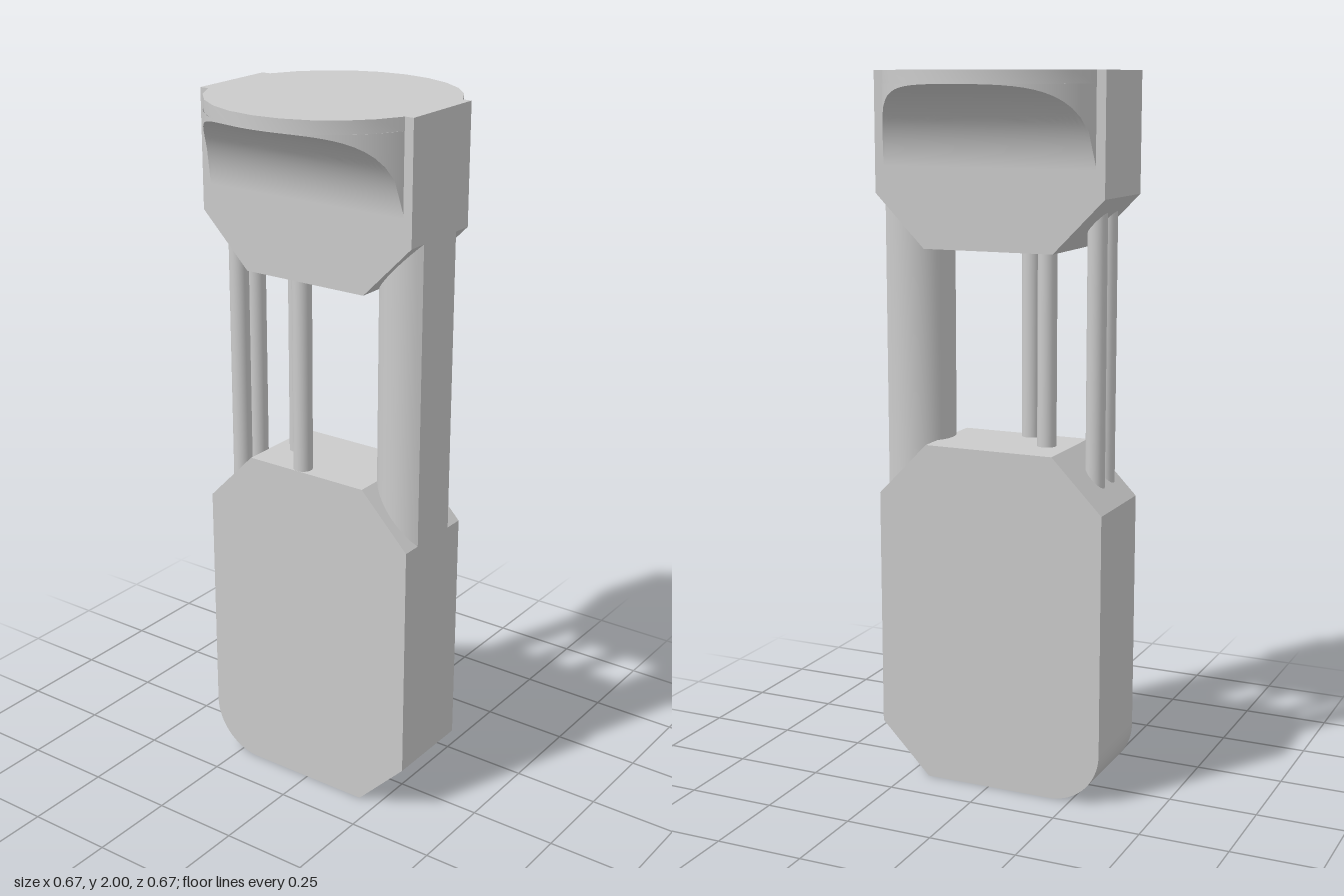
import * as THREE from 'three';
import { toCreasedNormals } from 'three/addons/utils/BufferGeometryUtils.js';
import { ParametricGeometry } from 'three/addons/geometries/ParametricGeometry.js';

const HALF_W = 0.132, HALF_D = 0.336, R = 0.337;
const material = new THREE.MeshStandardMaterial({ color: 0xcccccc });
const thinMaterial = new THREE.MeshStandardMaterial({ color: 0xcccccc, side: THREE.DoubleSide });

function part(name, geometry, mat = material) {
  const mesh = new THREE.Mesh(geometry, mat);
  mesh.name = name;
  return mesh;
}

function extrude(shape, depth, curveSegments = 12) {
  return new THREE.ExtrudeGeometry(shape, { depth, curveSegments, bevelEnabled: false });
}

// Side outline (shape x = -z) extruded across the width
function block(shape) {
  const g = extrude(shape, HALF_W * 2).translate(0, 0, -HALF_W).rotateY(Math.PI / 2);
  return toCreasedNormals(g, 0.5);
}

// Plan outline (shape y = -z) extruded upwards from y0 to y1
function upright(shape, y0, y1, segments) {
  const g = extrude(shape, y1 - y0, segments).rotateX(-Math.PI / 2).translate(0, y0, 0);
  return toCreasedNormals(g, 0.5);
}

// Half of the round top plate with the concave flare below it, on the +x side
function flare() {
  const group = new THREE.Group();
  const end = Math.acos(HALF_W / R);
  const rimY = 1.965, r = 0.22, cx = HALF_W + r, cy = rimY - r;

  const plate = new THREE.Shape();
  plate.absarc(0, 0, R, -end, end, false);
  plate.closePath();
  group.add(part('topPlate', upright(plate, rimY, 2, 5)));

  // angle on the fillet arc where it meets the rim at plan angle a
  const reach = (a) => Math.acos((cx - R * Math.cos(a)) / r);

  const wall = new ParametricGeometry((u, v, p) => {
    const a = (u * 2 - 1) * end * 0.999;
    const low = cy + r * Math.sin(reach(a));
    p.set(R * Math.cos(a), rimY + (low - rimY) * v, R * Math.sin(a));
  }, 30, 2);
  group.add(part('flareRim', wall, thinMaterial));

  const scoop = new ParametricGeometry((u, v, p) => {
    const a = (1 - u * 2) * end * 0.999;
    const t = reach(a) * v;
    p.set(cx - r * Math.cos(t), cy + r * Math.sin(t), R * Math.sin(a));
  }, 30, 16);
  group.add(part('flareScoop', scoop, thinMaterial));
  return group;
}

export function createModel() {
  const model = new THREE.Group();
  model.name = 'model';

  // Lower block: three chamfered corners and one rounded at the back
  const lower = new THREE.Shape();
  lower.moveTo(-0.19, 0);
  lower.lineTo(HALF_D - 0.15, 0);
  lower.absarc(HALF_D - 0.15, 0.15, 0.15, -Math.PI / 2, 0, false);
  lower.lineTo(HALF_D, 0.83);
  lower.lineTo(0.19, 0.98);
  lower.lineTo(-0.19, 0.98);
  lower.lineTo(-HALF_D, 0.83);
  lower.lineTo(-HALF_D, 0.148);
  lower.closePath();
  model.add(part('lowerBlock', block(lower)));

  // Upper block: chamfered underneath
  const upper = new THREE.Shape([
    [-0.19, 1.525], [0.19, 1.525], [HALF_D, 1.672], [HALF_D, 2], [-HALF_D, 2], [-HALF_D, 1.672],
  ].map(([x, y]) => new THREE.Vector2(x, y)));
  model.add(part('upperBlock', block(upper)));

  // Front column: round, cut flush with the front face
  const columnZ = 0.27, columnR = 0.1;
  const cut = Math.asin((HALF_D - columnZ) / columnR);
  const column = new THREE.Shape();
  column.absarc(0, -columnZ, columnR, -cut, Math.PI + cut, false);
  column.closePath();
  model.add(part('frontColumn', upright(column, 0.83, 1.672, 14)));

  // Thin rods, ends sunk into both blocks
  const rods = [[-0.105, -0.027], [0, -0.12], [0, -0.265], [-0.075, -0.265]];
  rods.forEach(([x, z], i) => {
    const rod = part('rod' + (i + 1), new THREE.CylinderGeometry(0.027, 0.027, 0.82, 20));
    rod.position.set(x, 1.251, z);
    model.add(rod);
  });

  // Flares on both sides
  const left = flare();
  left.name = 'leftFlare';
  const right = flare();
  right.name = 'rightFlare';
  right.rotation.y = Math.PI;
  model.add(left, right);

  return model;
}
